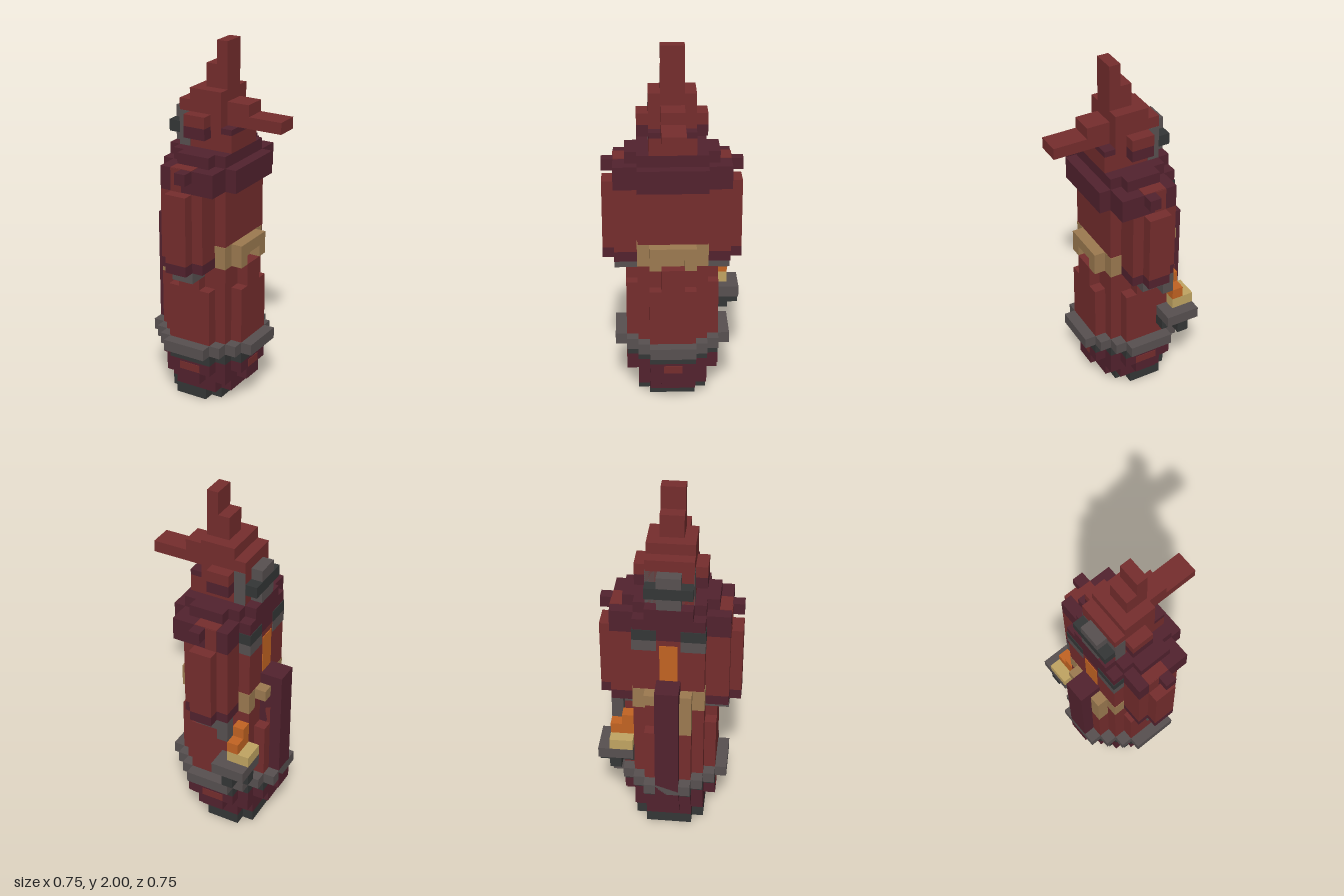
import * as THREE from 'three';

const U = 1 / 16; // one block

function material(name, hex) {
  const m = new THREE.MeshStandardMaterial({ color: hex });
  m.name = name;
  return m;
}

export function createModel() {
  const red = material('brick red', 0x752d2d);
  const maroon = material('dark maroon', 0x52222e);
  const gray = material('warm gray', 0x575050);
  const dark = material('charcoal', 0x343636);
  const tan = material('tan', 0x9c7a50);
  const orange = material('orange', 0xc26322);
  const yellow = material('pale yellow', 0xc0a462);

  const model = new THREE.Group();
  model.name = 'blockFigure';

  // Box given by its block limits
  function box(name, mat, x0, x1, y0, y1, z0, z1) {
    const g = new THREE.BoxGeometry((x1 - x0) * U, (y1 - y0) * U, (z1 - z0) * U);
    g.translate((x0 + x1) * U / 2, (y0 + y1) * U / 2, (z0 + z1) * U / 2);
    const mesh = new THREE.Mesh(g, mat);
    mesh.name = name;
    model.add(mesh);
  }

  // The same box on both z sides
  function pair(name, mat, x0, x1, y0, y1, z0, z1) {
    box(name, mat, x0, x1, y0, y1, z0, z1);
    box(name, mat, x0, x1, y0, y1, -z1, -z0);
  }

  // Stepped slab: spans[k] is the x range of the block rows k away from the middle
  function slab(name, mat, y0, y1, spans) {
    const right = [], left = [];
    spans.forEach(([a, b], k) => {
      right.push([b, k], [b, k + 1]);
      left.push([a, k], [a, k + 1]);
    });
    const flip = ([x, z]) => [x, -z];
    const outline = [
      ...right.slice(1), ...left.slice(1).reverse(),
      ...left.slice(1).map(flip), ...right.slice(1).reverse().map(flip),
    ].filter((p, i, all) => {
      const q = all[(i + 1) % all.length];
      return p[0] !== q[0] || p[1] !== q[1];
    });
    const shape = new THREE.Shape(outline.map(([x, z]) => new THREE.Vector2(x * U, z * U)));
    const g = new THREE.ExtrudeGeometry(shape, { depth: (y1 - y0) * U, bevelEnabled: false });
    g.rotateX(-Math.PI / 2);
    g.translate(0, y0 * U, 0);
    const mesh = new THREE.Mesh(g, mat);
    mesh.name = name;
    model.add(mesh);
  }

  // Spans centred on the body axis at x = -1
  const round = (...halves) => halves.map(h => [-1 - h, -1 + h]);

  // Foot and tapering skirt
  slab('foot', dark, 0, 1, [[-4, 1], [-4, 1], [-3, 0]]);
  slab('skirtBottom', maroon, 1, 2, round(3, 3, 2));
  slab('skirtMiddle', maroon, 2, 3, round(4, 3, 3, 1));
  slab('skirtTop', maroon, 3, 4, round(4, 4, 3, 2));
  pair('skirtPatch', red, -2, 0, 3.1, 3.8, 3.95, 4.05);
  box('skirtPatch', red, 2.95, 3.05, 3.1, 3.8, -0.8, 0.8);

  // Hoop around the waist
  slab('hoopUnderside', dark, 4, 5, round(4, 4, 3, 2));
  slab('hoop', gray, 5, 6, round(5, 5, 4, 3, 2));

  // Lower body
  slab('lowerBody', red, 6, 11, round(4, 4, 3, 2));
  slab('lowerBodyTop', red, 11, 12, round(4, 3, 3, 1));
  slab('waist', red, 12, 13, round(4, 3, 3));

  // Upper body with sleeves
  slab('upperBody', red, 13, 20, round(3, 3, 3));
  for (const [y0, y1, mat, name] of [[13, 13.9, maroon, 'cuff'], [13.9, 20, red, 'sleeve']]) {
    pair(name, mat, -3, 1, y0, y1, 3, 5);
    pair(name, mat, -2, 0, y0, y1, 5, 6);
  }
  pair('hand', gray, -2, 0, 12, 13, 3, 5);
  box('lanternHandle', gray, -3, -2, 11, 13, -5, -4);

  // Stepped collar
  slab('collarBottom', maroon, 20, 21, [[-4, 3], [-4, 3], [-4, 3], [-3, 2], [-3, 2]]);
  slab('collarMiddle', maroon, 21, 22, [[-4, 3], [-4, 3], [-4, 3], [-3, 2], [-3, 2]]);
  slab('collarTop', maroon, 22, 23, [[-4, 2], [-4, 2], [-3, 2], [-2, 1]]);
  pair('collarPoint', maroon, -1, 0, 21, 22, 5, 6);
  pair('collarClasp', red, -2, -1, 20, 22, 4.9, 5.05);
  pair('collarInset', red, -2, 0, 21.95, 22.05, 4, 5);

  // Belt, stepped round the front and ending at the back
  box('beltFront', tan, 2, 3, 14, 15, -2, 2);
  box('beltMiddle', tan, 1.5, 2.05, 13, 14, -1, 1);
  pair('beltFrontSide', tan, 2, 3, 13, 14, 1, 2);
  pair('beltFrontEnd', tan, 1, 2.02, 13, 15, 2, 3.05);
  pair('beltBackEnd', tan, -4.02, -3, 13, 15, 2, 3.05);
  pair('beltBack', tan, -5, -4, 14, 15, 1, 2);
  box('beltTail', tan, -5, -4, 11, 14, 1, 2);

  // Back plate, glowing window and brackets
  box('backPlate', maroon, -6, -4, 4, 16, -1, 1);
  box('backWindow', orange, -4.06, -3.95, 16, 19.5, -0.75, 0.75);
  pair('bracketLower', gray, -4.06, -3, 19, 20, 1, 3.05);
  pair('bracketUpper', dark, -4.06, -3, 20, 21, 1, 3.05);

  // Head
  box('jaw', red, -3, 2, 23, 24.5, -2, 2);
  box('mouthBand', maroon, 1, 2, 24.5, 25, -2, 2);
  box('cheeks', red, -3, 1, 24.5, 27, -2, 2);
  box('nose', red, 1, 6, 25, 26, -1, 1);
  box('brow', red, 1, 3, 26, 27, -1, 1);
  pair('earLower', maroon, -2, 0, 24, 25, 2, 3);
  pair('earUpper', red, -2, 0, 25, 26, 2, 3);

  // Pointed crown
  box('crownBase', red, -2, 1, 27, 28, -2, 2);
  box('crownMiddle', red, -1, 1, 28, 30, -1, 1);
  box('crownTip', red, 0, 1, 30, 32, -1, 1);

  // Pipe on the back of the head
  box('pipe', gray, -4, -2, 23, 26, -1, 1);
  box('pipeInner', gray, -3, -2, 23, 26, -2.03, 2.03);
  box('pipeBand', dark, -4.03, -3, 24, 25, -2, 2);

  // Lantern held at the side
  box('lanternFoot', dark, -4, -3, 7, 8, -6, -3);
  box('lanternFootCross', dark, -5, -2, 7, 8, -5, -4);
  box('lanternDish', gray, -5, -2, 8, 9, -6, -3);
  box('candle', yellow, -5, -3, 9, 10, -5, -3);
  box('flameLow', orange, -4, -3, 10, 11, -5, -4);
  box('flameTall', orange, -4, -3, 10, 12, -4, -3);

  return model;
}
